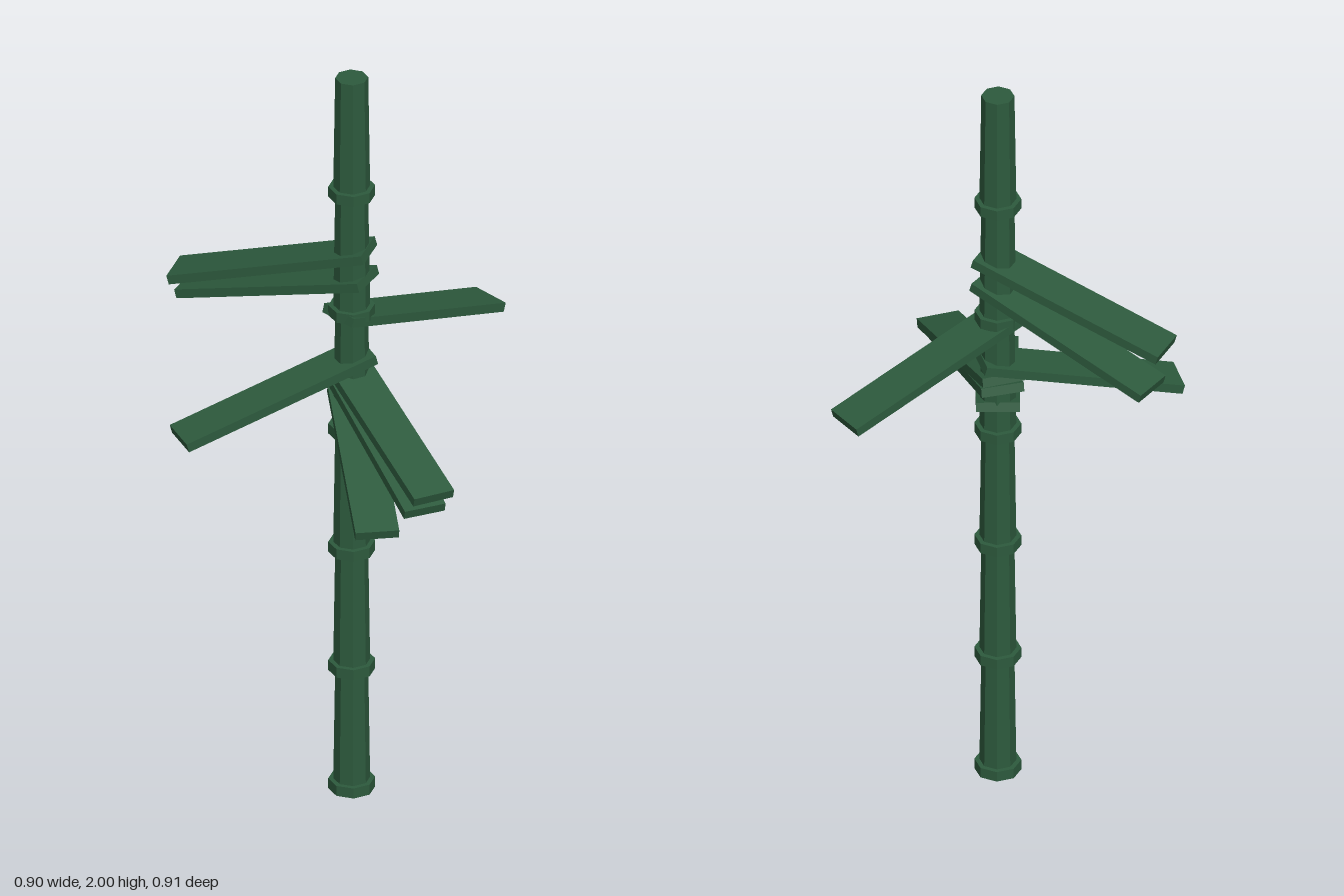
import * as THREE from 'three';

export function createModel() {
  const model = new THREE.Group();
  const green = new THREE.MeshStandardMaterial({ color: 0x2d5a3d, flatShading: true });
  green.name = 'bamboo green';

  const add = (parent, name, geometry, y) => {
    const mesh = new THREE.Mesh(geometry, green);
    mesh.name = name;
    mesh.position.y = y;
    parent.add(mesh);
    return mesh;
  };

  const plant = new THREE.Group();
  plant.name = 'bamboo';
  plant.position.set(-0.016, 0, 0.006);
  model.add(plant);

  // Stalk: tapered eight-sided segments, each with a ring at its foot
  const segments = 6, step = 2 / segments;
  const segmentGeometry = new THREE.CylinderGeometry(0.041, 0.046, step, 8);
  const ringGeometry = new THREE.CylinderGeometry(0.058, 0.058, 0.028, 8);
  for (let i = 0; i < segments; i++) {
    add(plant, 'stalkSegment', segmentGeometry, (i + 0.5) * step);
    add(plant, 'stalkRing', ringGeometry, i * step + 0.014);
  }

  // Leaves: drooping flat blades, given by the tip's x, z offset and height
  const droop = 0.274, reach = 0.46, back = 0.045;
  const span = reach + back;
  const leafGeometry = new THREE.BoxGeometry(span / Math.cos(droop), 0.024, 0.109);
  const tips = [
    [-0.173, -0.426, 1.378],
    [-0.107, -0.448, 1.302],
    [0.456, 0.06, 1.204],
    [-0.41, -0.21, 1.08],
    [-0.184, 0.421, 1.043],
    [-0.206, 0.411, 1.012],
    [-0.306, 0.342, 0.962],
  ];
  for (const [x, z, y] of tips) {
    const yaw = Math.atan2(-z, x);
    const mid = (reach - back) / 2;
    const leaf = add(plant, 'leaf', leafGeometry, y + (span / 2) * Math.tan(droop));
    leaf.position.x = mid * Math.cos(yaw);
    leaf.position.z = -mid * Math.sin(yaw);
    leaf.rotation.set(0, yaw, -droop);
  }
  return model;
}
